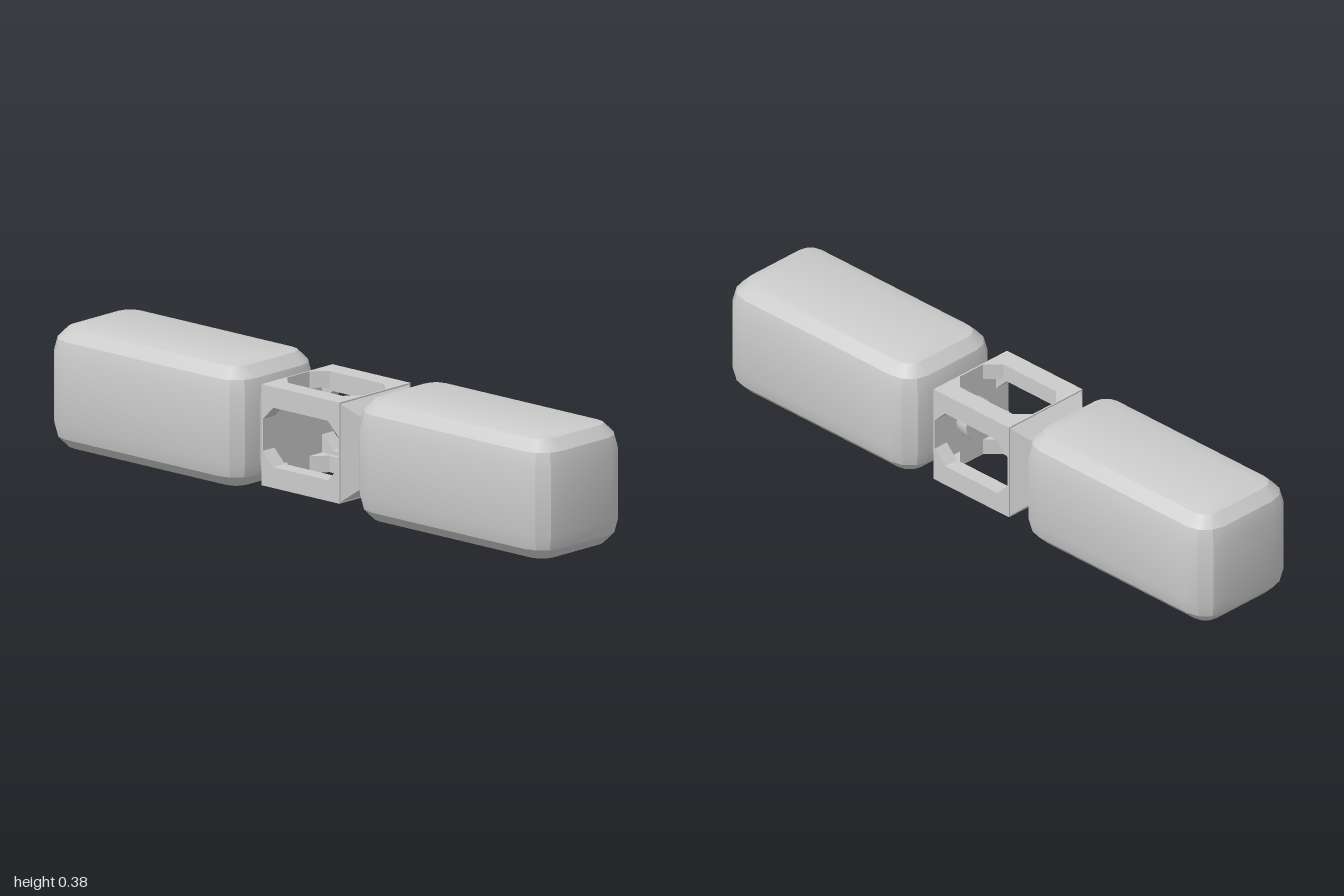
import * as THREE from 'three';
import { toCreasedNormals } from 'three/addons/utils/BufferGeometryUtils.js';
import { ConvexGeometry } from 'three/addons/geometries/ConvexGeometry.js';

const material = new THREE.MeshStandardMaterial({ color: 0xcccccc });
const MID_Y = 0.1925;

function add(parent, geometry, name) {
  const mesh = new THREE.Mesh(geometry, material);
  mesh.name = name;
  parent.add(mesh);
  return mesh;
}

// Box with edges rounded in three steps: hull of eight corner sphere patches
function roundedBlock(w, h, d, r) {
  const points = [];
  for (const sx of [-1, 1]) for (const sy of [-1, 1]) for (const sz of [-1, 1]) {
    for (let i = 0; i <= 3; i++) {
      const lat = (i * Math.PI) / 6;
      for (let j = 0; j <= (i === 3 ? 0 : 3); j++) {
        const lon = (j * Math.PI) / 6;
        points.push(new THREE.Vector3(
          sx * (w / 2 - r + r * Math.cos(lat) * Math.cos(lon)),
          sy * (h / 2 - r + r * Math.sin(lat)),
          sz * (d / 2 - r + r * Math.cos(lat) * Math.sin(lon))));
      }
    }
  }
  return toCreasedNormals(new ConvexGeometry(points), THREE.MathUtils.degToRad(29));
}

// Rectangle with cut corners
function octagon(Type, a, b, c) {
  return new Type([[a, b - c], [a - c, b], [c - a, b], [-a, b - c],
    [-a, c - b], [c - a, -b], [a - c, -b], [a, c - b]]
    .map(([x, y]) => new THREE.Vector2(x, y)));
}

export function createModel() {
  const model = new THREE.Group();
  model.name = 'linkedBlocks';

  // Two long rounded blocks, front and back
  const block = roundedBlock(0.38, 0.385, 0.785, 0.09);
  for (const s of [1, -1]) {
    add(model, block, s > 0 ? 'frontBlock' : 'backBlock').position.set(0, MID_Y, s * 0.6075);
  }

  // Open cage between the blocks
  const cage = new THREE.Group();
  cage.name = 'connectorCage';
  cage.position.y = MID_Y;
  model.add(cage);

  // Four side panels, each with a cut-cornered window
  const half = 0.153, depth = 0.05;
  const outline = new THREE.Shape([[-half, -0.155], [half, -0.155], [half, 0.155], [-half, 0.155]]
    .map(([x, y]) => new THREE.Vector2(x, y)));
  outline.holes.push(octagon(THREE.Path, 0.09, 0.15, 0.042));
  const panel = new THREE.ExtrudeGeometry(outline, { depth, bevelEnabled: false });
  panel.translate(0, 0, half - depth);
  panel.rotateX(-Math.PI / 2);
  for (let i = 0; i < 4; i++) {
    add(cage, panel, 'windowPanel').rotation.z = (i * Math.PI) / 2;
  }

  // Tapered ends that meet the blocks
  const taper = new THREE.CylinderGeometry(0.09 * Math.SQRT2, half * Math.SQRT2, 0.07, 4).toNonIndexed();
  taper.computeVertexNormals();
  taper.rotateY(Math.PI / 4);
  taper.rotateX(Math.PI / 2);
  taper.translate(0, 0, 0.185);
  for (const s of [1, -1]) {
    add(cage, taper, s > 0 ? 'frontTaper' : 'backTaper').rotation.y = s > 0 ? 0 : Math.PI;
  }

  // Small round stud inside, on the front end wall
  const stud = new THREE.CylinderGeometry(0.063, 0.063, 0.045, 12);
  stud.rotateX(Math.PI / 2);
  add(cage, toCreasedNormals(stud, 0.7), 'innerStud').position.z = 0.1325;

  return model;
}
